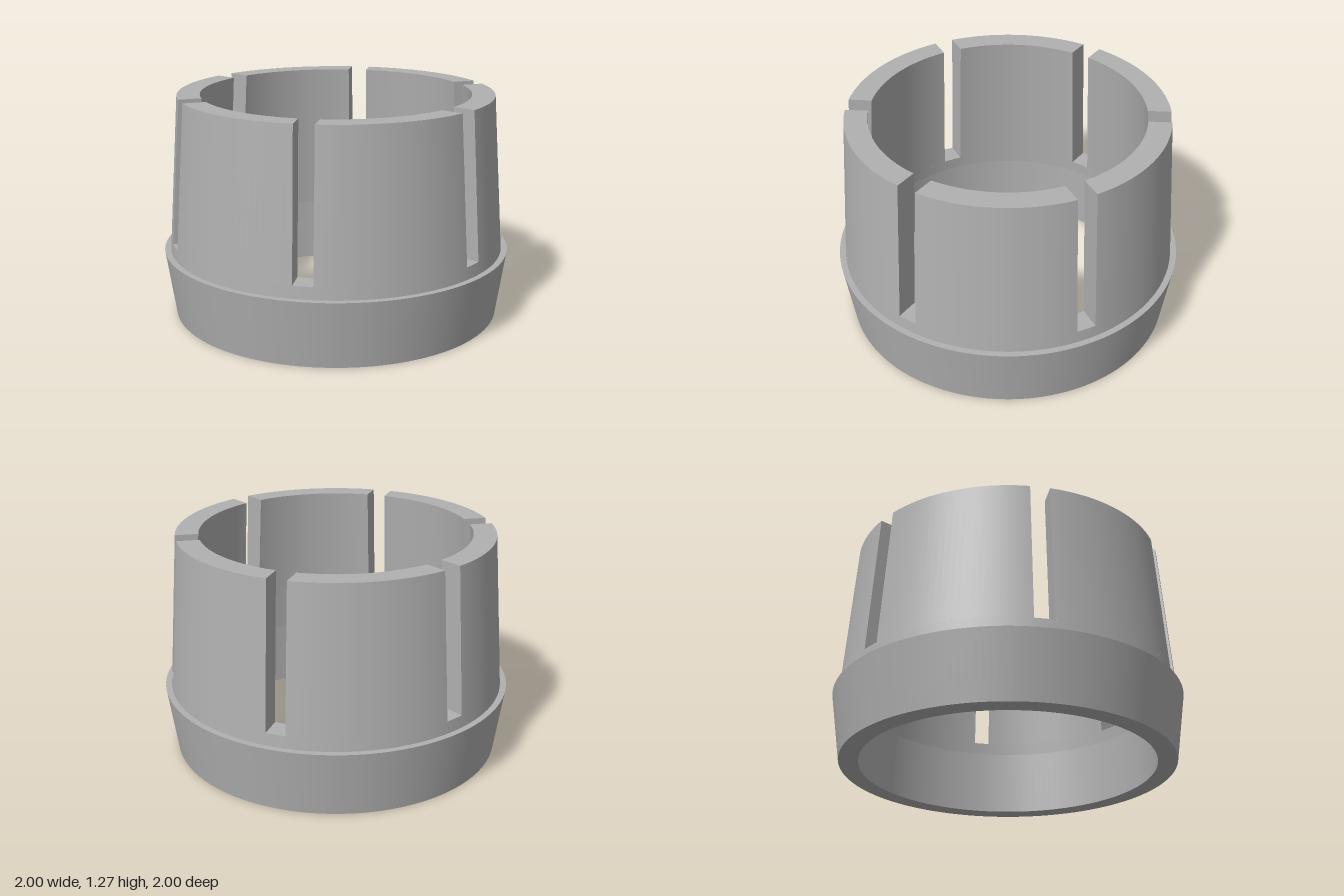
import * as THREE from 'three';
import { mergeGeometries } from 'three/addons/utils/BufferGeometryUtils.js';

const SLOTS = 6;
const STEP = (Math.PI * 2) / SLOTS;
const HALF_SLOT = 0.055; // slots have parallel walls

// Profile points as [radius, height]
const BORE = [0.835, 0];
const BORE_TOP = [0.835, 0.38];
const FLOOR_IN = [0.83, 0.45];
const FLOOR_OUT = [0.96, 0.45];
const TIP_IN = [0.77, 1.275];
const TIP_OUT = [0.9, 1.275];

const slotAngle = (r) => Math.asin(HALF_SLOT / r);
const point = ([r, y], a) => [r * Math.sin(a), y, r * Math.cos(a)];

function makeGeometry(positions, normals, index) {
  const g = new THREE.BufferGeometry();
  g.setAttribute('position', new THREE.Float32BufferAttribute(positions, 3));
  g.setAttribute('normal', new THREE.Float32BufferAttribute(normals, 3));
  g.setIndex(index);
  return g;
}

// Smooth conical band swept from p to q; start and end angles depend on radius
function band(p, q, start, end, segments) {
  const positions = [], normals = [], index = [];
  const dr = q[0] - p[0], dy = q[1] - p[1], len = Math.hypot(dr, dy);
  for (let i = 0; i <= segments; i++) {
    for (const c of [p, q]) {
      const a = THREE.MathUtils.lerp(start(c[0]), end(c[0]), i / segments);
      positions.push(...point(c, a));
      normals.push((dy / len) * Math.sin(a), -dr / len, (dy / len) * Math.cos(a));
    }
    if (i < segments) {
      const k = i * 2;
      index.push(k, k + 2, k + 3, k, k + 3, k + 1);
    }
  }
  return makeGeometry(positions, normals, index);
}

// Flat slot wall across the finger's cross-section
function wall(corners, angleAt, slot, side) {
  const positions = corners.flatMap((c) => point(c, angleAt(c[0])));
  const n = [side * Math.cos(slot), 0, -side * Math.sin(slot)];
  const index = side < 0 ? [0, 1, 2, 0, 2, 3] : [0, 2, 1, 0, 3, 2];
  return makeGeometry(positions, [...n, ...n, ...n, ...n], index);
}

function chain(profile, start, end, segments) {
  return profile.slice(1).map((q, i) => band(profile[i], q, start, end, segments));
}

export function createModel() {
  const group = new THREE.Group();
  const grey = new THREE.MeshStandardMaterial({ color: 0xb0b0b0 });
  grey.name = 'plain grey';

  const add = (name, parts) => {
    const mesh = new THREE.Mesh(mergeGeometries(parts), grey);
    mesh.name = name;
    group.add(mesh);
  };

  // Flared collar with its ledge and bore
  const collar = [FLOOR_IN, BORE_TOP, BORE, [0.945, 0], [1, 0.38], [0.965, 0.38], FLOOR_OUT];
  add('collar', chain(collar, () => 0, () => Math.PI * 2, 144));

  for (let i = 0; i < SLOTS; i++) {
    const a = i * STEP, b = a + STEP;

    // Tapered finger between two slots
    const start = (r) => a + slotAngle(r);
    const end = (r) => b - slotAngle(r);
    const section = [FLOOR_IN, FLOOR_OUT, TIP_OUT, TIP_IN];
    add(`finger${i + 1}`, [
      ...chain([FLOOR_OUT, TIP_OUT, TIP_IN, FLOOR_IN], start, end, 24),
      wall(section, start, a, -1),
      wall(section, end, b, 1),
    ]);

    // Floor of the slot
    add(`slotFloor${i + 1}`, [
      band(FLOOR_OUT, FLOOR_IN, (r) => a - slotAngle(r), (r) => a + slotAngle(r), 4),
    ]);
  }
  return group;
}
